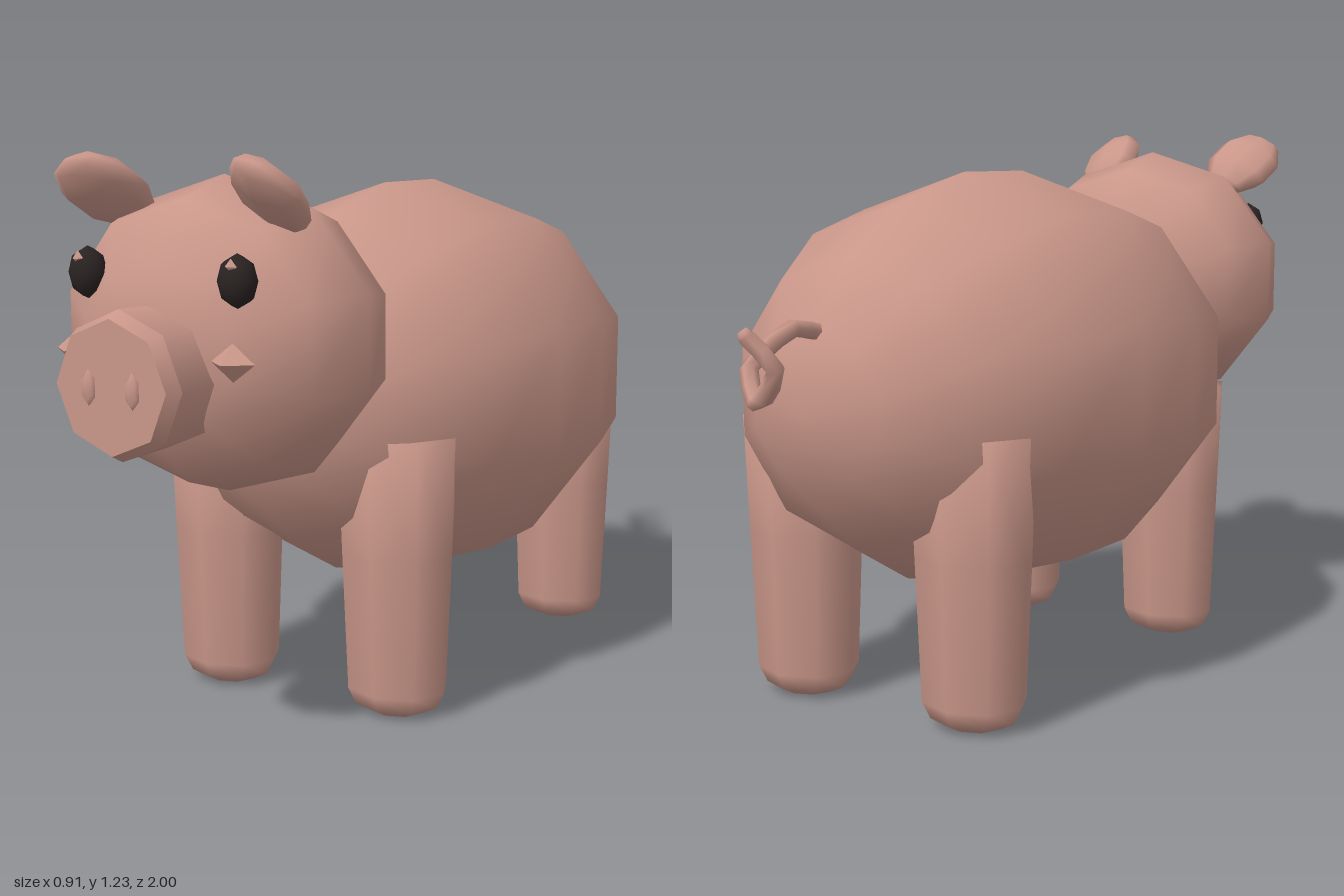
import * as THREE from 'three';

const skin = new THREE.MeshStandardMaterial({ color: 0xc99689 });
skin.name = 'skinPink';
const black = new THREE.MeshStandardMaterial({ color: 0x2a2322 });
black.name = 'eyeBlack';

export function createModel() {
  const model = new THREE.Group();
  model.name = 'pig';

  function add(name, geometry, x, y, z, material = skin) {
    const mesh = new THREE.Mesh(geometry, material);
    mesh.name = name;
    mesh.position.set(x, y, z);
    model.add(mesh);
    return mesh;
  }

  // Low-sided ellipsoid with its poles along z and a corner on top
  function ellipsoid(rx, ry, rz, around, along) {
    return new THREE.SphereGeometry(1, around, along, Math.PI / 2 - 2 * Math.PI * 2 / around)
      .rotateX(Math.PI / 2).scale(rx, ry, rz);
  }

  // Body and head
  add('body', ellipsoid(0.488, 0.472, 0.68, 10, 9), 0, 0.675, -0.13);
  add('head', ellipsoid(0.357, 0.325, 0.272, 10, 6), 0, 0.855, 0.62);

  // Snout: tube, bevelled rim with a flat face
  add('snout', new THREE.CylinderGeometry(0.145, 0.14, 0.17, 8, 1, true).rotateX(Math.PI / 2), 0, 0.797, 0.875);
  add('snoutFace', new THREE.CylinderGeometry(0.13, 0.145, 0.03, 8).rotateX(Math.PI / 2), 0, 0.797, 0.975);

  // Leg profile, turned around y with eight sides
  const legProfile = [[0, 0], [0.06, 0], [0.098, 0.018], [0.117, 0.055], [0.13, 0.36], [0.14, 0.62], [0, 0.62]]
    .map(([r, y]) => new THREE.Vector2(r, y));
  const leg = new THREE.LatheGeometry(legProfile, 8).scale(1, 1, 0.88);

  for (const s of [1, -1]) {
    const side = s > 0 ? 'left' : 'right';
    add(side + 'FrontLeg', leg, s * 0.224, 0, 0.312);
    add(side + 'BackLeg', leg, s * 0.224, 0, -0.54);
    add(side + 'Nostril', ellipsoid(0.019, 0.038, 0.012, 6, 4), s * 0.052, 0.795, 0.988);
    add(side + 'Cheek', new THREE.OctahedronGeometry(1).scale(0.05, 0.037, 0.04), s * 0.188, 0.842, 0.862);

    // Eye with a small glint
    add(side + 'Eye', ellipsoid(0.04, 0.052, 0.036, 8, 6), s * 0.18, 0.992, 0.832, black);
    add(side + 'EyeGlint', new THREE.OctahedronGeometry(1).scale(0.014, 0.016, 0.01), s * 0.183, 1.02, 0.857);

    // Ear: flattened, leaning forwards and outwards
    const length = new THREE.Vector3(s * 0.2, 0.55, 0.8).normalize();
    const width = new THREE.Vector3(0.9, -s * 0.33, 0);
    width.addScaledVector(length, -width.dot(length)).normalize();
    const thickness = new THREE.Vector3().crossVectors(length, width);
    const ear = add(side + 'Ear', ellipsoid(0.09, 0.042, 0.112, 8, 5), s * 0.2, 1.15, 0.75);
    ear.quaternion.setFromRotationMatrix(new THREE.Matrix4().makeBasis(width, thickness, length));
  }

  // Curly tail
  const path = new THREE.CatmullRomCurve3([
    [0, 0.83, -0.75], [0, 0.845, -0.84], [0.065, 0.77, -0.885],
    [0.01, 0.705, -0.925], [-0.065, 0.78, -0.955], [-0.02, 0.845, -0.985],
  ].map((p) => new THREE.Vector3(...p)), false, 'catmullrom', 0.3);
  add('tail', new THREE.TubeGeometry(path, 12, 0.019, 6), 0, 0, 0);
  const tip = path.getPoint(1);
  add('tailTip', ellipsoid(0.018, 0.018, 0.015, 6, 4), tip.x, tip.y, tip.z);

  return model;
}
